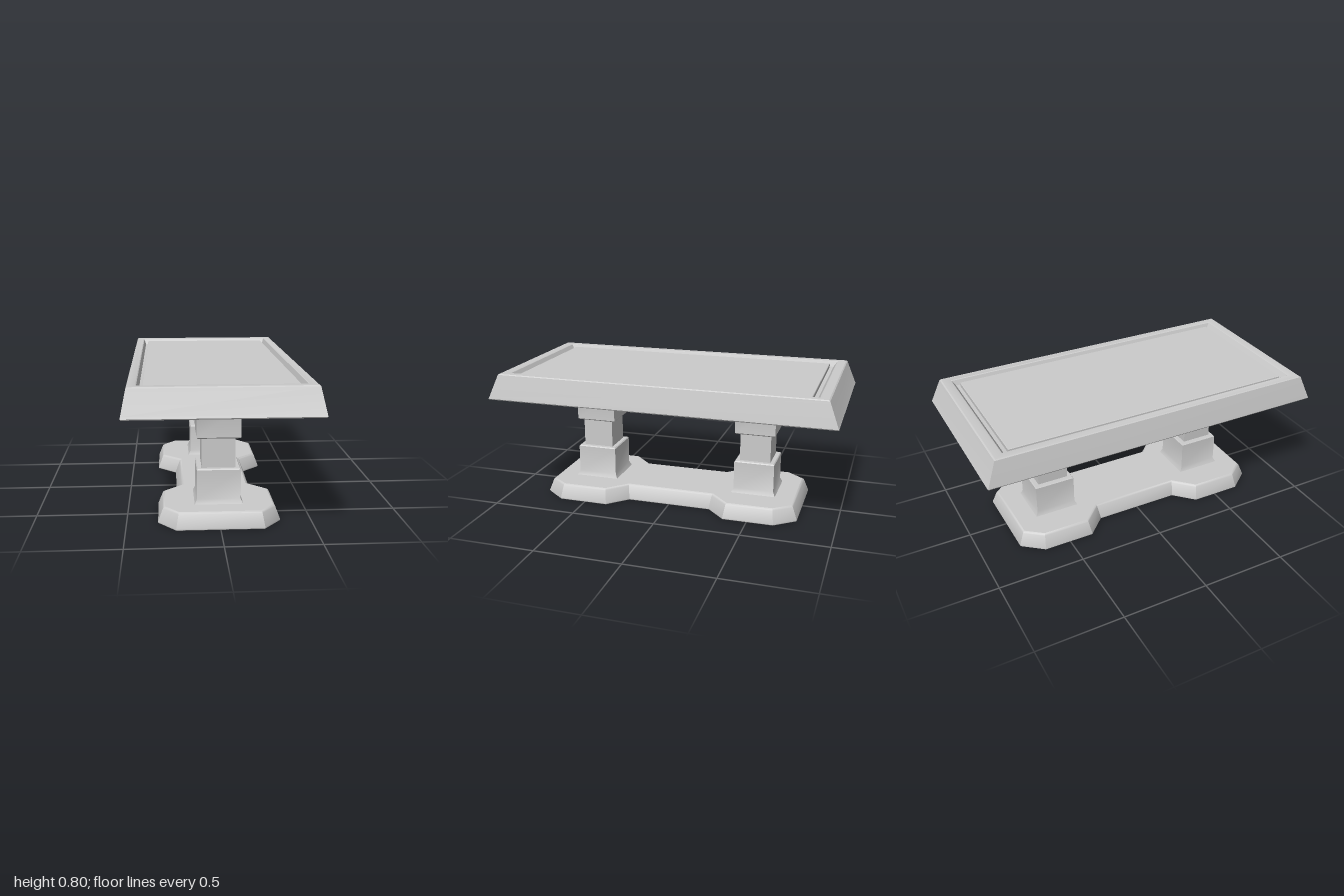
import * as THREE from 'three';
import { toCreasedNormals } from 'three/addons/utils/BufferGeometryUtils.js';

const material = new THREE.MeshStandardMaterial({ color: 0xcccccc });

// Skins a stack of matching rings, listed counter-clockwise from above, and caps both ends
function loft(levels) {
  const pos = [];
  const put = ([ring, y], i) => {
    const [x, s] = ring[i % ring.length];
    pos.push(x, y, -s);
  };
  for (let k = 0; k < levels.length - 1; k++) {
    const a = levels[k], b = levels[k + 1];
    for (let i = 0; i < a[0].length; i++) {
      put(a, i); put(a, i + 1); put(b, i + 1);
      put(a, i); put(b, i + 1); put(b, i);
    }
  }
  const cap = (level, up) => {
    const outline = level[0].map(([x, s]) => new THREE.Vector2(x, s));
    for (const [i, j, k] of THREE.ShapeUtils.triangulateShape(outline, [])) {
      for (const n of up ? [i, j, k] : [i, k, j]) put(level, n);
    }
  };
  cap(levels[0], false);
  cap(levels[levels.length - 1], true);
  const geo = new THREE.BufferGeometry();
  geo.setAttribute('position', new THREE.Float32BufferAttribute(pos, 3));
  return toCreasedNormals(geo, 0.5);
}

const rect = (hx, hz) => [[hx, -hz], [hx, hz], [-hx, hz], [-hx, -hz]];

// Moves every edge of an outline inward by d, with mitred corners
function inset(outline, d) {
  const n = outline.length;
  const normal = (p, q) => new THREE.Vector2(p[1] - q[1], q[0] - p[0]).normalize();
  return outline.map((p, i) => {
    const n1 = normal(outline[(i + n - 1) % n], p);
    const n2 = normal(p, outline[(i + 1) % n]);
    const k = d / (1 + n1.dot(n2));
    return [p[0] + (n1.x + n2.x) * k, p[1] + (n1.y + n2.y) * k];
  });
}

function part(name, geometry) {
  const mesh = new THREE.Mesh(geometry, material);
  mesh.name = name;
  return mesh;
}

export function createModel() {
  const table = new THREE.Group();
  table.name = 'table';

  // Sloping slab with a groove around a slightly sunken centre panel
  table.add(part('tableTop', loft([
    [rect(0.496, 0.996), 0.65],
    [rect(0.5, 1.0), 0.656],
    [rect(0.498, 0.994), 0.668],
    [rect(0.472, 0.944), 0.795],
    [rect(0.467, 0.937), 0.8],
    [rect(0.428, 0.892), 0.8],
    [rect(0.423, 0.886), 0.797],
    [rect(0.412, 0.866), 0.767],
    [rect(0.396, 0.845), 0.765],
    [rect(0.396, 0.845), 0.787],
    [rect(0.393, 0.842), 0.79],
  ])));

  // Square pillars: two flared blocks around a narrower waist
  const lower = [[0.133, 0.088], [0.119, 0.118], [0.119, 0.28], [0.114, 0.286], [0.091, 0.286]];
  const upper = lower.map(([h, y]) => [h, 0.74 - y]).reverse();
  const pillarGeometry = loft([...lower, ...upper].map(([h, y]) => [rect(h, h), y]));
  for (const [name, z] of [['frontPillar', 0.495], ['backPillar', -0.495]]) {
    const pillar = part(name, pillarGeometry);
    pillar.position.z = z;
    table.add(pillar);
  }

  // Foot plate: two chamfered lobes joined by a narrower middle
  const quarter = [[0.22, 0.25], [0.33, 0.36], [0.33, 0.655], [0.235, 0.775]];
  const mirrored = [...quarter].reverse();
  const outline = [
    ...quarter,
    ...mirrored.map(([x, s]) => [-x, s]),
    ...quarter.map(([x, s]) => [-x, -s]),
    ...mirrored.map(([x, s]) => [x, -s]),
  ];
  const steps = [[0.004, 0], [0, 0.004], [0, 0.012], [0.026, 0.08], [0.03, 0.086], [0.038, 0.091]];
  table.add(part('base', loft(steps.map(([d, y]) => [inset(outline, d), y]))));

  return table;
}
